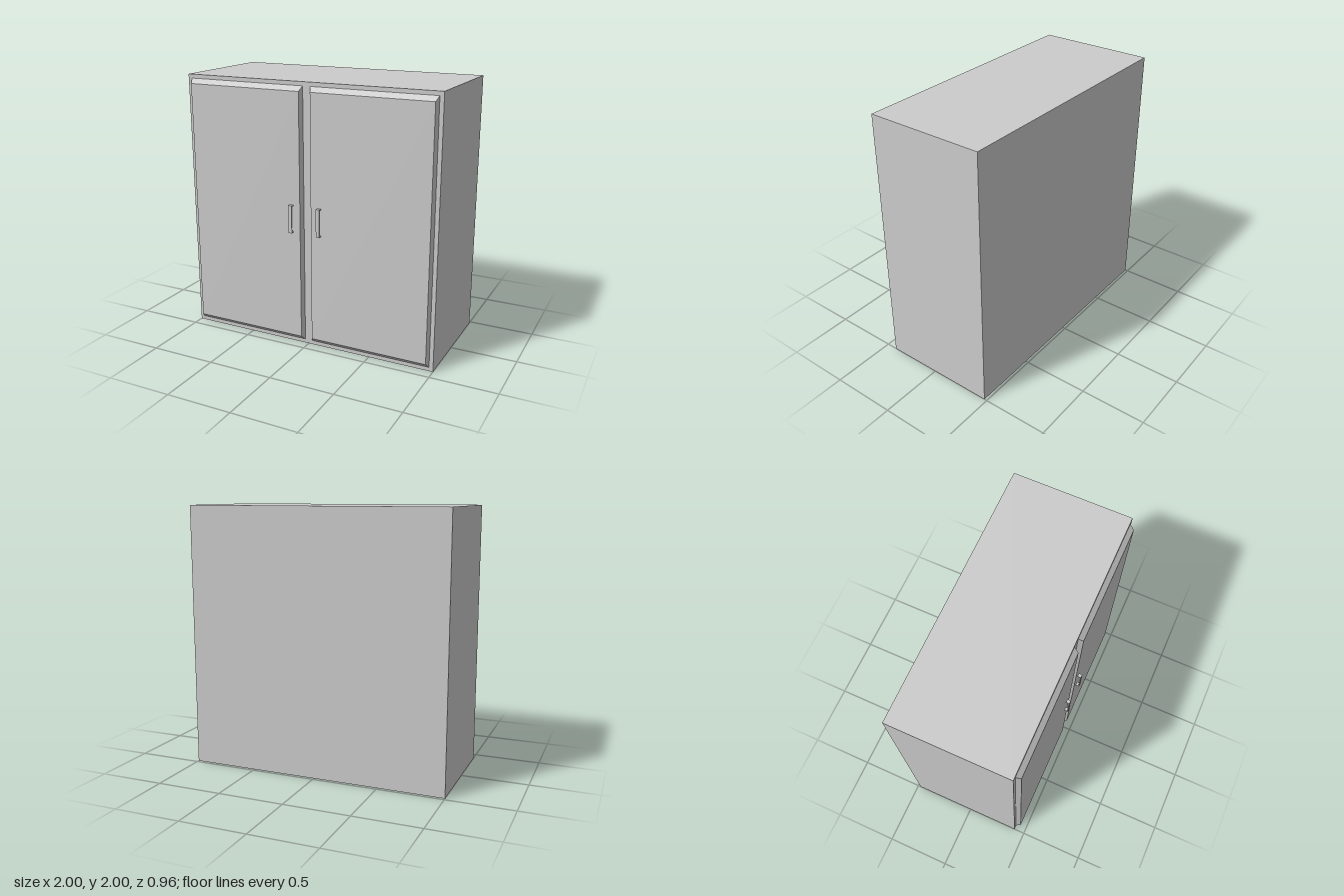
import * as THREE from 'three';

const material = new THREE.MeshStandardMaterial({ color: 0xcccccc, flatShading: true });

function box(name, w, h, d, x, y, z) {
  const mesh = new THREE.Mesh(new THREE.BoxGeometry(w, h, d), material);
  mesh.name = name;
  mesh.position.set(x, y, z);
  return mesh;
}

// Box whose front face is inset on all four sides to make a bevel
function bevelledPanel(name, w, h, d, insetX, insetY) {
  const mesh = box(name, w, h, d, 0, 0, 0);
  const p = mesh.geometry.attributes.position;
  for (let i = 0; i < p.count; i++) {
    if (p.getZ(i) < 0) continue;
    p.setX(i, p.getX(i) - Math.sign(p.getX(i)) * insetX);
    p.setY(i, p.getY(i) - Math.sign(p.getY(i)) * insetY);
  }
  mesh.geometry.computeVertexNormals();
  return mesh;
}

// Bracket handle: a flat grip on two short posts
function handle(name) {
  const group = new THREE.Group();
  group.name = name;
  group.add(box('grip', 0.028, 0.21, 0.007, 0, 0, 0.0245));
  for (const s of [-1, 1]) {
    group.add(box(s > 0 ? 'upperPost' : 'lowerPost', 0.028, 0.008, 0.021, 0, s * 0.101, 0.0105));
  }
  return group;
}

export function createModel() {
  const model = new THREE.Group();
  model.name = 'cabinet';

  const back = -0.479, front = 0.415, doorDepth = 0.036;
  model.add(box('cabinetBody', 2, 2, front - back, 0, 1, (front + back) / 2));

  // Mirrored pair of doors with handles beside the centre gap
  for (const s of [-1, 1]) {
    const side = s > 0 ? 'left' : 'right';
    const door = bevelledPanel(side + 'Door', 0.94, 1.94, doorDepth, 0.015, 0.035);
    door.position.set(s * 0.5, 1, front + doorDepth / 2);
    model.add(door);

    const pull = handle(side + 'Handle');
    pull.position.set(s * 0.113, 1, front + doorDepth);
    model.add(pull);
  }
  return model;
}
